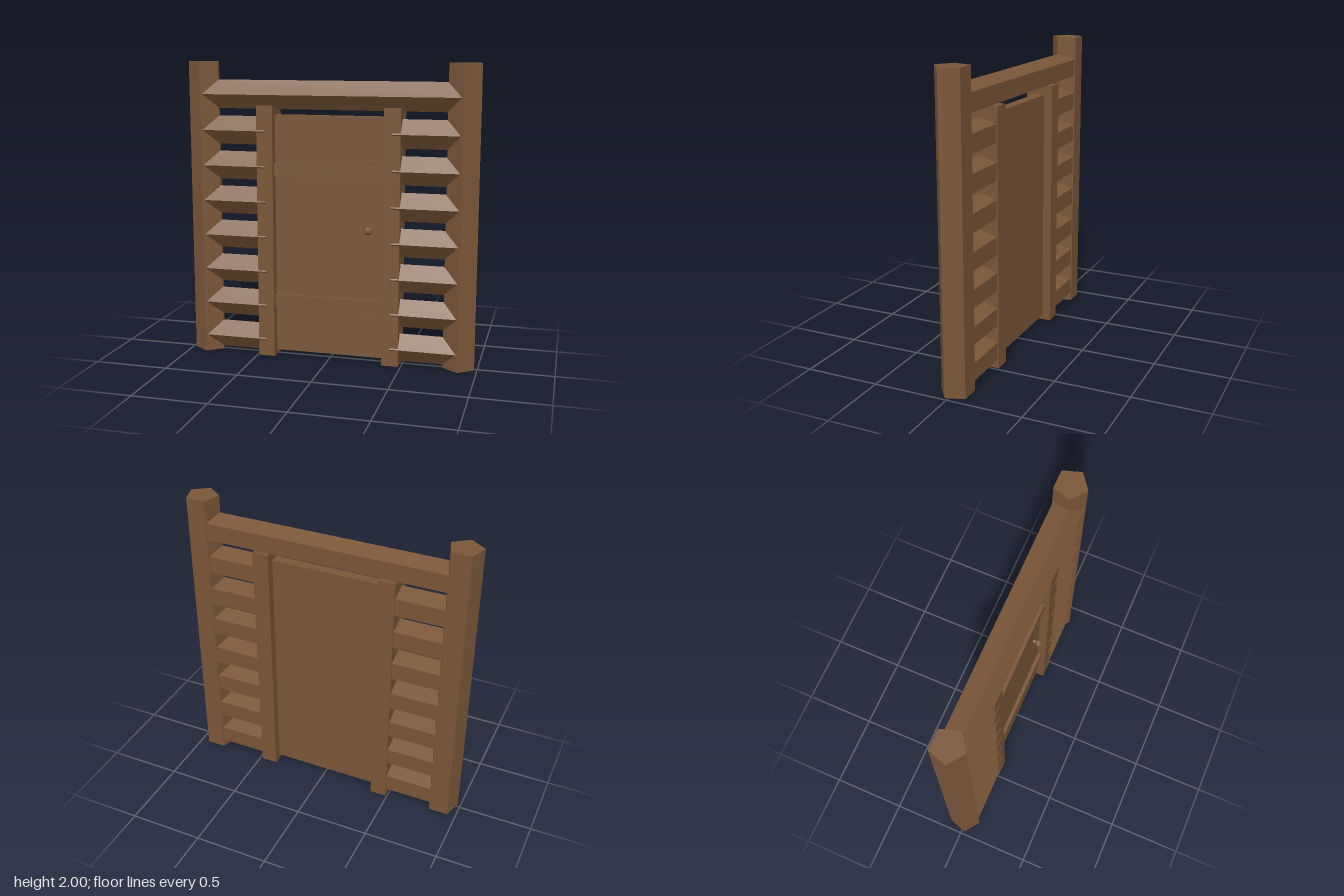
import * as THREE from 'three';

export function createModel() {
  const root = new THREE.Group();
  root.name = 'logDoorWall';
  const wood = new THREE.MeshStandardMaterial({ color: 0x7a5638, flatShading: true });
  wood.name = 'brown wood';

  const add = (name, geometry, x, y, z) => {
    const mesh = new THREE.Mesh(geometry, wood);
    mesh.name = name;
    mesh.position.set(x, y, z);
    root.add(mesh);
    return mesh;
  };
  const box = (name, x0, x1, y0, y1, z0, z1) =>
    add(name, new THREE.BoxGeometry(x1 - x0, y1 - y0, z1 - z0),
      (x0 + x1) / 2, (y0 + y1) / 2, (z0 + z1) / 2);

  // Five-sided log lying along x, with one ridge to the front
  const log = (name, x0, x1, y) => {
    const g = new THREE.CylinderGeometry(0.1, 0.1, x1 - x0, 5);
    g.rotateZ(Math.PI / 2);
    g.scale(1, 1, 1.02);
    return add(name, g, (x0 + x1) / 2, y, -0.012);
  };

  // Corner posts
  for (const side of [-1, 1]) {
    const g = new THREE.CylinderGeometry(0.11, 0.11, 2, 5);
    add(side < 0 ? 'rightPost' : 'leftPost', g, side * 0.877, 1, -0.012);
  }

  // Lintel and the short wall logs on both sides
  log('lintelLog', -0.87, 0.87, 1.786);
  for (let i = 0; i < 7; i++) {
    const y = 0.117 + i * 0.2383;
    log('rightWallLog', -0.87, -0.43, y);
    log('leftWallLog', 0.425, 0.87, y);
  }

  // Door frame
  box('rightJamb', -0.488, -0.377, 0, 1.713, -0.104, 0.084);
  box('leftJamb', 0.371, 0.482, 0, 1.713, -0.104, 0.084);

  // Door slab with two raised battens
  box('door', -0.379, 0.373, 0.03, 1.652, -0.045, 0.025);
  box('lowerBatten', -0.377, 0.371, 0.34, 0.43, 0.02, 0.05);
  box('upperBatten', -0.377, 0.371, 1.243, 1.333, 0.02, 0.05);

  // Door knob on a short stem
  const stem = new THREE.CylinderGeometry(0.014, 0.014, 0.04, 6);
  stem.rotateX(Math.PI / 2);
  add('knobStem', stem, 0.272, 0.908, 0.04);
  add('knob', new THREE.SphereGeometry(0.029, 7, 5), 0.272, 0.908, 0.062);

  return root;
}
